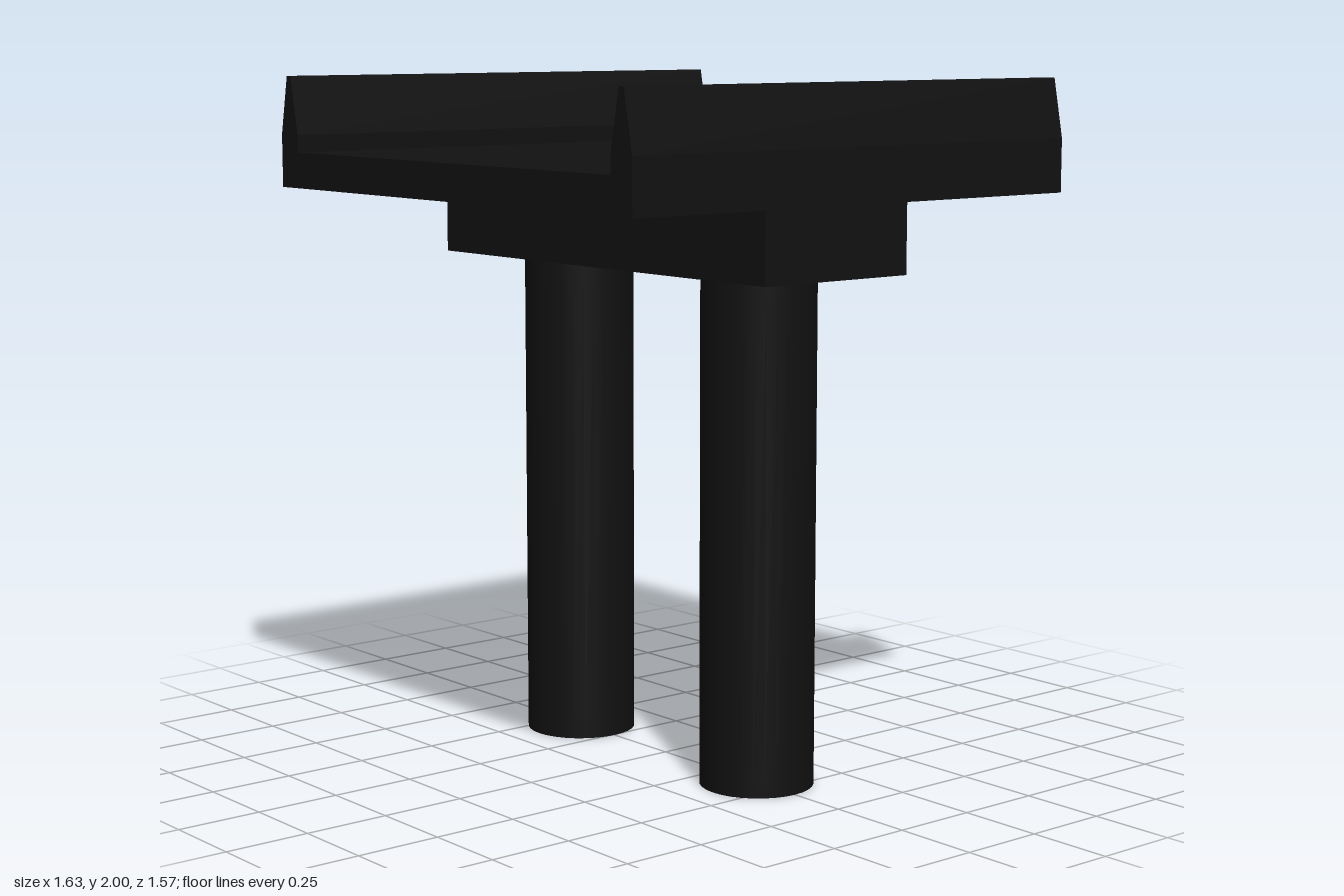
import * as THREE from 'three';

export function createModel() {
  const model = new THREE.Group();
  const material = new THREE.MeshStandardMaterial({ color: 0x111111 });

  const add = (name, geometry, x, y, z) => {
    const mesh = new THREE.Mesh(geometry, material);
    mesh.name = name;
    mesh.position.set(x, y, z);
    model.add(mesh);
    return mesh;
  };

  const length = 1.566, halfWidth = 0.816;
  const capBottom = 1.466, deckBottom = 1.676, deckTop = 1.78;

  // Road deck and the cap beam that carries it
  add('deck', new THREE.BoxGeometry(halfWidth * 2, deckTop - deckBottom, length), 0, (deckTop + deckBottom) / 2, 0);
  add('capBeam', new THREE.BoxGeometry(1.45, deckBottom - capBottom, 0.522), 0, (deckBottom + capBottom) / 2, 0);

  // Tapered barrier section: upright foot, sloping to a narrow top
  const profile = new THREE.Shape([
    [-0.043, 0], [0.043, 0], [0.043, 0.05], [0.01, 0.22], [-0.01, 0.22], [-0.043, 0.05],
  ].map(([x, y]) => new THREE.Vector2(x, y)));
  const barrier = new THREE.ExtrudeGeometry(profile, { depth: length, bevelEnabled: false });
  barrier.translate(0, 0, -length / 2);

  // Mirrored barriers and columns
  for (const [side, label] of [[1, 'left'], [-1, 'right']]) {
    add(label + 'Barrier', barrier, side * (halfWidth - 0.043), deckTop, 0);
    add(label + 'Column', new THREE.CylinderGeometry(0.164, 0.164, capBottom, 32), side * 0.408, capBottom / 2, 0);
  }

  return model;
}
